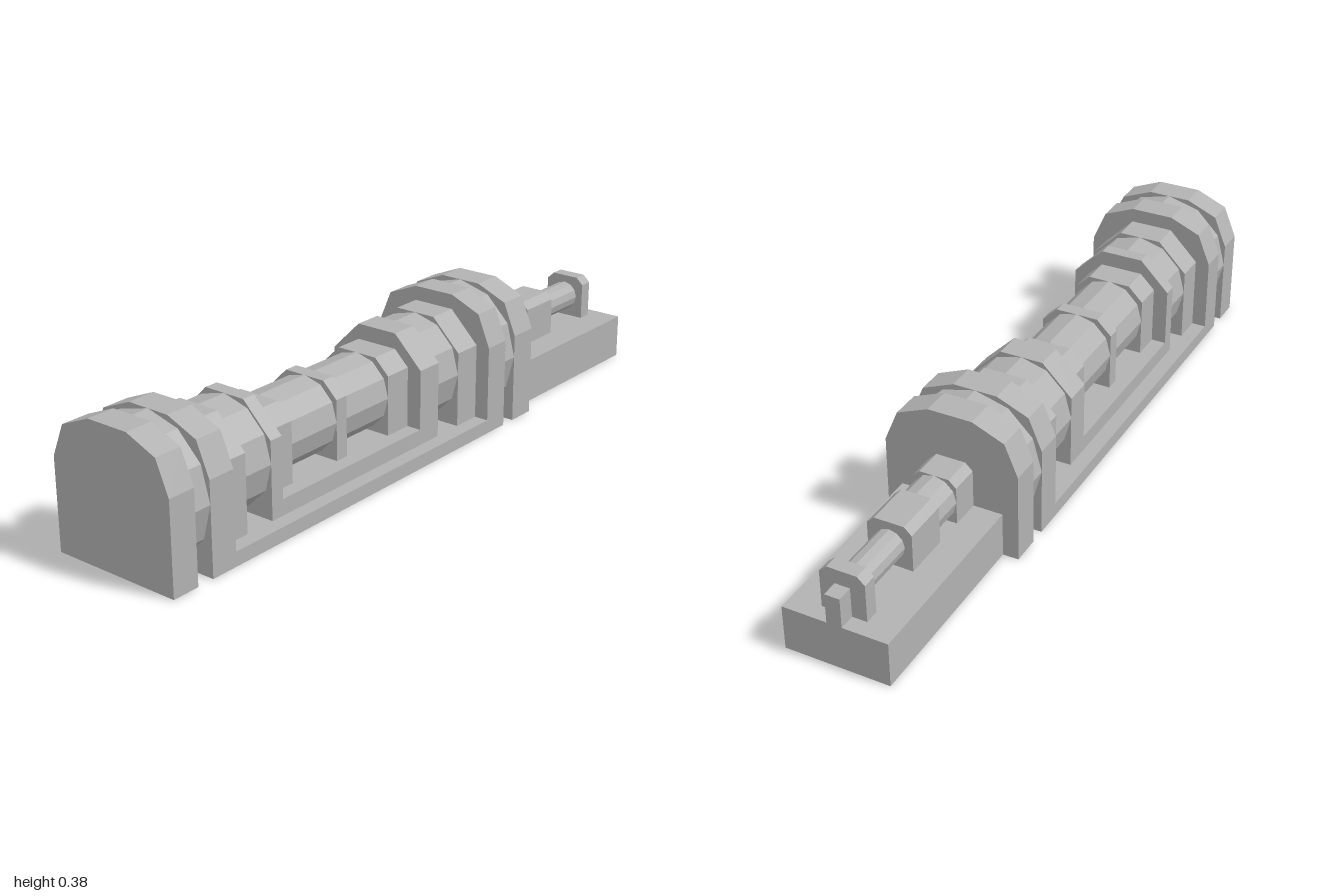
import * as THREE from 'three';

const AXIS_Y = 0.192; // height of the shared centre line

export function createModel() {
  const model = new THREE.Group();
  model.name = 'steppedMachine';
  const grey = new THREE.MeshStandardMaterial({ color: 0xb2b2b2, flatShading: true });
  grey.name = 'plain grey';

  function add(name, geometry) {
    const mesh = new THREE.Mesh(geometry, grey);
    mesh.name = name;
    model.add(mesh);
  }

  // Box from half width, height range and z range
  function block(name, half, y0, y1, z0, z1) {
    const g = new THREE.BoxGeometry(half * 2, y1 - y0, z1 - z0);
    add(name, g.translate(0, (y0 + y1) / 2, (z0 + z1) / 2));
  }

  // Upright plate with mirrored, chamfered shoulders; points run up the +x side
  function plate(name, side, z0, z1) {
    const left = side.map(([x, y]) => [-x, y]).reverse();
    const shape = new THREE.Shape([...side, ...left].map(([x, y]) => new THREE.Vector2(x, y)));
    const g = new THREE.ExtrudeGeometry(shape, { depth: z1 - z0, bevelEnabled: false });
    add(name, g.translate(0, 0, z0));
  }

  // Faceted drum lying along z, a corner pointing straight up
  function drum(name, radius, z0, z1) {
    const g = new THREE.CylinderGeometry(radius, radius, z1 - z0, 12);
    add(name, g.rotateX(Math.PI / 2).translate(0, AXIS_Y, (z0 + z1) / 2));
  }

  // Profiles of the four tiers
  const large = [[0.192, 0], [0.192, 0.255], [0.154, 0.346], [0.063, 0.384]];
  const medium = [[0.15, 0.04], [0.15, 0.255], [0.063, 0.342]];
  const small = [[0.107, 0.085], [0.107, 0.255], [0.063, 0.298]];
  const tail = [[0.063, 0.128], [0.063, 0.235], [0.042, 0.255]];

  // Plates of each tier, as z ranges
  const tiers = [
    ['largePlate', large, [[0.92, 1], [0.79, 0.87], [-0.315, -0.235], [-0.445, -0.36]]],
    ['mediumPlate', medium, [[0.705, 0.79], [0.575, 0.615], [-0.06, 0.02], [-0.235, -0.15]]],
    ['smallPlate', small, [[0.49, 0.575], [0.277, 0.317], [0.02, 0.105]]],
    ['tailPlate', tail, [[-0.53, -0.445], [-0.745, -0.615], [-0.955, -0.915]]],
  ];
  for (const [name, side, ranges] of tiers) {
    for (const [z0, z1] of ranges) plate(name, side, z0, z1);
  }

  // Drums showing in the gaps between plates
  const drums = [
    ['largeDrum', 0.192, 0.87, 0.92],
    ['largeDrum', 0.192, -0.36, -0.315],
    ['mediumDrum', 0.15, 0.615, 0.705],
    ['mediumDrum', 0.15, -0.15, -0.06],
    ['smallDrum', 0.107, 0.317, 0.49],
    ['smallDrum', 0.107, 0.105, 0.277],
    ['tailDrum', 0.063, -0.615, -0.53],
    ['tailRod', 0.042, -0.915, -0.745],
  ];
  for (const d of drums) drum(...d);

  // Stepped base rails and the tail bed with its end stop
  block('baseSlab', 0.192, 0, 0.04, -0.235, 0.79);
  block('upperSlab', 0.15, 0.04, 0.085, 0.02, 0.575);
  block('tailBed', 0.147, 0, 0.128, -1, -0.445);
  block('endStop', 0.021, 0.128, 0.213, -1, -0.955);

  return model;
}
